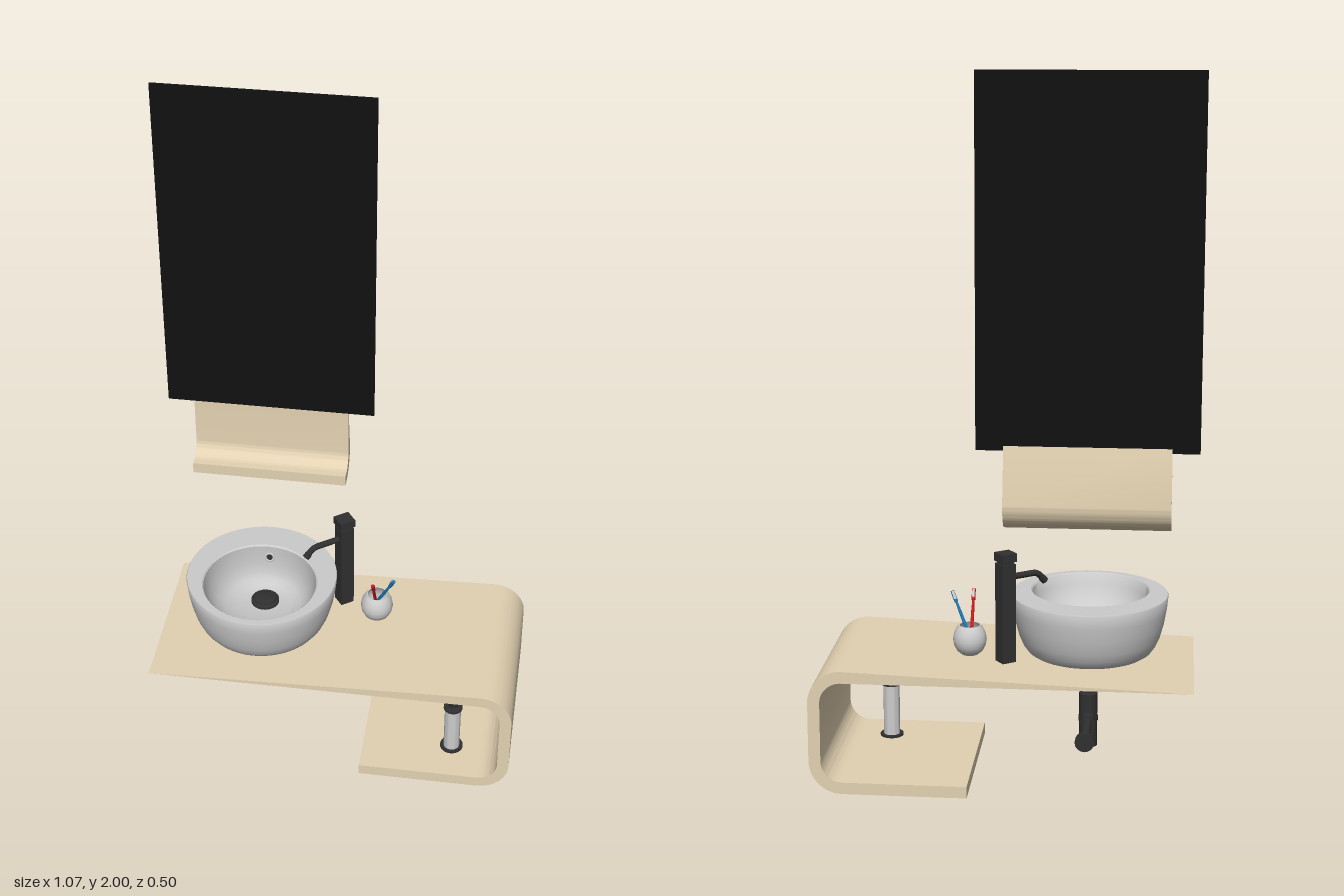
import * as THREE from 'three';
import { toCreasedNormals } from 'three/addons/utils/BufferGeometryUtils.js';

const mat = (color, side = THREE.FrontSide) => new THREE.MeshStandardMaterial({ color, side });
const wood = mat(0xe3d2b2), dark = mat(0x303030), black = mat(0x111111);
const grey = mat(0xcccccc), red = mat(0xcc1818), blue = mat(0x1878b0);
const V = (x, y, z) => new THREE.Vector3(x, y, z);

function add(parent, name, geometry, material, x = 0, y = 0, z = 0) {
  const m = new THREE.Mesh(geometry, material);
  m.name = name;
  m.position.set(x, y, z);
  parent.add(m);
  return m;
}

function group(parent, name, x = 0, y = 0, z = 0) {
  const g = new THREE.Group();
  g.name = name;
  g.position.set(x, y, z);
  parent.add(g);
  return g;
}

// Turned part from [radius, height] pairs, bottom to top
const lathe = (pts, seg = 40) =>
  toCreasedNormals(new THREE.LatheGeometry(pts.map(p => new THREE.Vector2(...p)), seg), 0.6);

const solid = (r, y0, y1) => lathe([[0, y0], [r, y0], [r, y1], [0, y1]]);

const extrude = (shape, depth) =>
  toCreasedNormals(new THREE.ExtrudeGeometry(shape, { depth, bevelEnabled: false, curveSegments: 14 }), 0.5);

// Skin over horizontal circles given as [y, radius, centre z]
function loft(rings, seg = 64) {
  const pos = [], idx = [], n = seg + 1;
  rings.forEach(([y, r, cz], i) => {
    for (let j = 0; j <= seg; j++) {
      const a = (j / seg) * Math.PI * 2;
      pos.push(r * Math.cos(a), y, cz + r * Math.sin(a));
      if (i < rings.length - 1 && j < seg) {
        const p = i * n + j;
        idx.push(p, p + n, p + 1, p + 1, p + n, p + n + 1);
      }
    }
  });
  const g = new THREE.BufferGeometry();
  g.setAttribute('position', new THREE.Float32BufferAttribute(pos, 3));
  g.setIndex(idx);
  return toCreasedNormals(g, 0.6);
}

// Straight round rod between two points
function rod(parent, name, a, b, r0, r1, material) {
  const d = b.clone().sub(a);
  const m = add(parent, name, new THREE.CylinderGeometry(r1, r0, d.length(), 16), material);
  m.position.copy(a).add(b).multiplyScalar(0.5);
  m.quaternion.setFromUnitVectors(V(0, 1, 0), d.normalize());
  return m;
}

function counterGeometry() {
  const X = 0.535, H = 0.36, T = 0.034, R = 0.095, r = R - T, h = Math.PI / 2;
  const s = new THREE.Shape();
  s.moveTo(-X, H);
  s.absarc(X - R, H - R, R, h, 0, true);
  s.absarc(X - R, R, R, 0, -h, true);
  s.lineTo(0.09, 0);
  s.lineTo(0.09, T);
  s.absarc(X - R, R, r, -h, 0, false);
  s.absarc(X - R, H - R, r, 0, h, false);
  s.lineTo(-X, H - T);
  return extrude(s, 0.504).translate(0, 0, -0.252);
}

// Profile drawn in z and y, then turned to run along x
function shelfGeometry() {
  const s = new THREE.Shape(), B = -0.252, T = 0.033, Y = 0.768, R = 0.075;
  s.moveTo(B, 1.003);
  s.absarc(B + R, Y + R, R, Math.PI, Math.PI * 1.5, false);
  s.lineTo(-0.157, Y);
  s.lineTo(-0.157, Y + T);
  s.absarc(B + R, Y + R, R - T, Math.PI * 1.5, Math.PI, true);
  s.lineTo(B + T, 1.003);
  return extrude(s, 0.455).rotateY(-Math.PI / 2).translate(-0.01, 0, 0);
}

export function createModel() {
  const root = new THREE.Group();
  root.name = 'washstand';

  add(root, 'counter', counterGeometry(), wood);
  add(root, 'wallShelf', shelfGeometry(), wood);
  add(root, 'mirror', new THREE.BoxGeometry(0.605, 1.01, 0.007), black, -0.237, 1.495, -0.215);

  // Basin with its bowl set towards the front
  const basin = group(root, 'basin', -0.237, 0, 0);
  add(basin, 'basinBowl', loft([
    [0.36, 0, 0], [0.36, 0.166, 0], [0.368, 0.178, 0], [0.385, 0.19, 0], [0.41, 0.201, 0],
    [0.45, 0.212, 0], [0.49, 0.219, 0], [0.528, 0.223, 0], [0.532, 0.221, 0],
    [0.532, 0.17, 0.034], [0.528, 0.166, 0.034], [0.5, 0.162, 0.029], [0.465, 0.152, 0.02],
    [0.435, 0.136, 0.008], [0.412, 0.112, -0.008], [0.399, 0.08, -0.025], [0.393, 0.045, -0.037], [0.392, 0, -0.04],
  ]), grey);
  add(basin, 'drainCover', lathe([[0, 0.388], [0.042, 0.388], [0.042, 0.4], [0.034, 0.404], [0.033, 0.408], [0, 0.408]]),
    dark, 0, 0, -0.04);
  add(basin, 'overflowRing', new THREE.TorusGeometry(0.012, 0.003, 10, 28), grey, 0, 0.49, -0.129).rotation.x = -0.2;
  add(basin, 'overflowHole', new THREE.CircleGeometry(0.011, 24), dark, 0, 0.49, -0.128).rotation.x = -0.2;

  // Drain trap under the counter, with its outlet to the wall
  const trap = group(root, 'drainTrap', -0.237, 0, -0.04);
  add(trap, 'trapBody', lathe([
    [0, 0.09], [0.026, 0.09], [0.026, 0.165], [0.028, 0.165], [0.028, 0.178], [0.026, 0.178],
    [0.026, 0.247], [0.017, 0.25], [0.017, 0.303], [0.026, 0.305], [0.026, 0.328], [0, 0.328],
  ]), dark);
  rod(trap, 'outletPipe', V(0, 0.175, 0), V(0, 0.175, -0.205), 0.013, 0.013, dark);
  rod(trap, 'outletNut', V(0, 0.175, -0.02), V(0, 0.175, -0.05), 0.019, 0.019, dark);
  rod(trap, 'wallFlange', V(0, 0.175, -0.195), V(0, 0.175, -0.21), 0.027, 0.027, dark);

  // Tall square tap turned towards the basin; its spout runs along its own -x
  const tap = group(root, 'tap', -0.007, 0, -0.118);
  tap.rotation.y = 0.63;
  add(tap, 'tapBody', new THREE.BoxGeometry(0.042, 0.285, 0.042), dark, 0, 0.5025, 0);
  add(tap, 'tapNeck', new THREE.BoxGeometry(0.034, 0.012, 0.034), dark, 0, 0.649, 0);
  add(tap, 'tapHandle', new THREE.BoxGeometry(0.048, 0.024, 0.046), dark, 0, 0.664, 0);
  const path = new THREE.CurvePath();
  path.add(new THREE.LineCurve3(V(0, 0.604, 0), V(-0.088, 0.604, 0)));
  path.add(new THREE.QuadraticBezierCurve3(V(-0.088, 0.604, 0), V(-0.104, 0.604, 0), V(-0.113, 0.594, 0)));
  path.add(new THREE.LineCurve3(V(-0.113, 0.594, 0), V(-0.127, 0.578, 0)));
  add(tap, 'spout', new THREE.TubeGeometry(path, 32, 0.009, 14), dark);
  rod(tap, 'spoutTip', V(-0.119, 0.587, 0), V(-0.129, 0.576, 0), 0.0105, 0.0105, dark);

  // Round cup with two toothbrushes
  const cup = group(root, 'toothbrushCup', 0.1, 0.36, -0.06);
  add(cup, 'cup', lathe([
    [0, 0], [0.024, 0], [0.037, 0.011], [0.045, 0.027], [0.048, 0.044], [0.045, 0.062], [0.038, 0.077],
    [0.031, 0.086], [0.028, 0.085], [0.034, 0.075], [0.041, 0.06], [0.043, 0.044], [0.04, 0.027], [0.025, 0.01], [0, 0.007],
  ]), grey);
  [['redToothbrush', V(-0.004, 0.012, -0.025), V(-0.005, 0.172, 0.066), red],
    ['blueToothbrush', V(-0.018, 0.012, -0.02), V(0.054, 0.172, 0.038), blue]].forEach(([name, a, b, m]) => {
    const brush = group(cup, name), at = t => a.clone().lerp(b, t);
    rod(brush, 'handle', a, at(0.65), 0.005, 0.0045, m);
    rod(brush, 'neck', at(0.65), at(0.84), 0.0045, 0.003, m);
    rod(brush, 'head', at(0.82), b, 0.0055, 0.0055, m);
    const bristles = add(brush, 'bristles', new THREE.BoxGeometry(0.007, 0.024, 0.008), grey);
    bristles.position.copy(at(0.91)).add(V(0, 0.005, -0.004));
    bristles.quaternion.setFromUnitVectors(V(0, 1, 0), b.clone().sub(a).normalize());
  });

  // Soap dispenser on the lower shelf
  const soap = group(root, 'soapDispenser', 0.356, 0.034, 0.13);
  add(soap, 'soapBase', solid(0.034, 0, 0.006), dark);
  add(soap, 'soapBottle', solid(0.024, 0.006, 0.158), grey);
  add(soap, 'soapCollar', lathe([[0, 0.158], [0.028, 0.158], [0.028, 0.165], [0.014, 0.168], [0.014, 0.188],
    [0.007, 0.19], [0.007, 0.2], [0.013, 0.202], [0.013, 0.218], [0, 0.218]]), dark);
  rod(soap, 'soapSpout', V(0, 0.209, 0), V(0, 0.205, 0.042), 0.006, 0.005, dark);

  return root;
}
